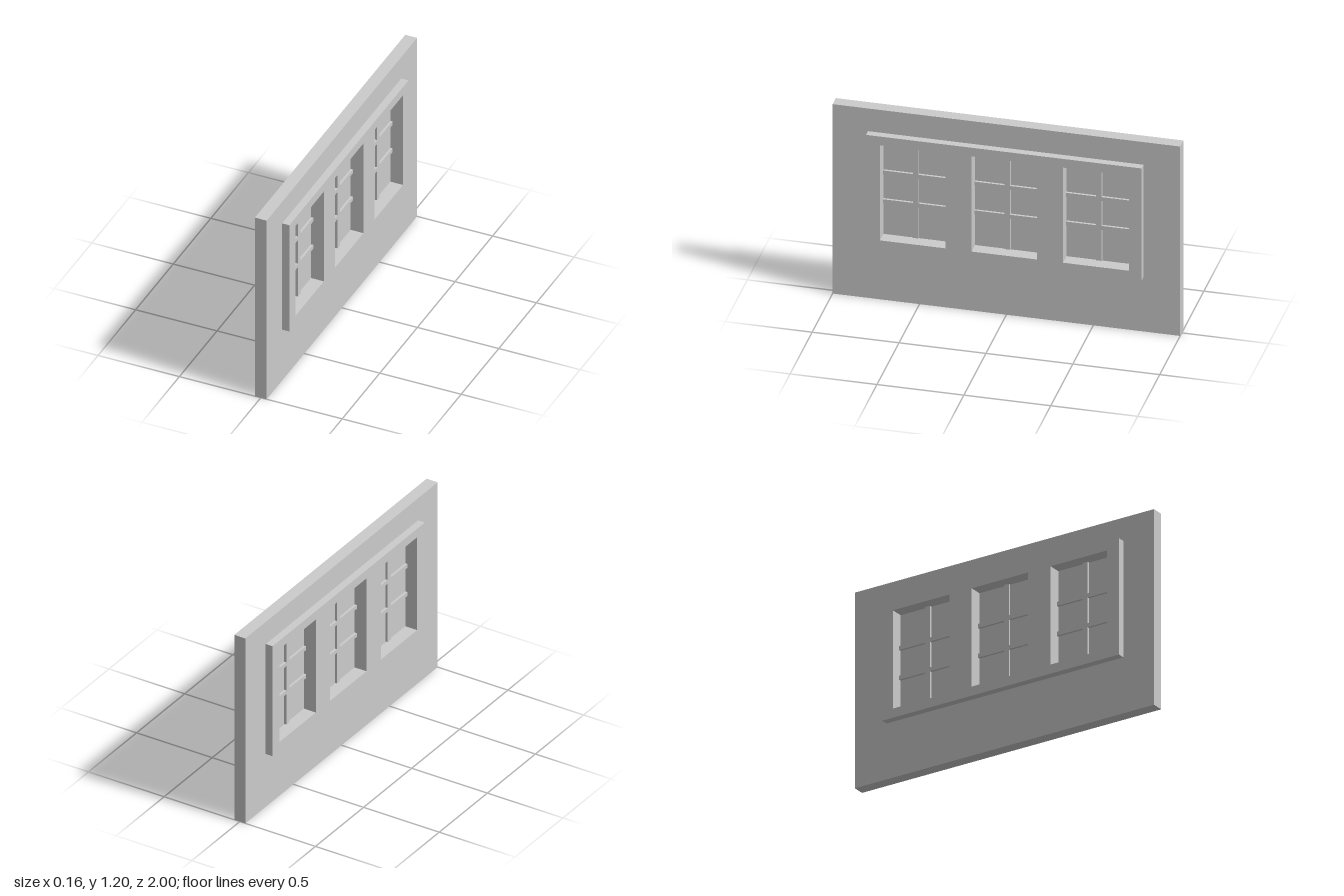
import * as THREE from 'three';

const WALL = { z0: -1, z1: 1, y0: 0, y1: 1.204 };
const FRAME = { z0: -0.788, z1: 0.796, y0: 0.344, y1: 1.06 };
const WINDOWS = [-0.527, 0, 0.527].map((z) => ({ z, z0: z - 0.189, z1: z + 0.189, y0: 0.4, y1: 1.005 }));

// Rectangle in the wall plane; the drawing x axis is -z
function rect(PathType, r) {
  return new PathType([[-r.z1, r.y0], [-r.z0, r.y0], [-r.z0, r.y1], [-r.z1, r.y1]]
    .map(([x, y]) => new THREE.Vector2(x, y)));
}

// Upright slab with rectangular openings, centred on x = 0
function slab(outline, openings, thickness) {
  const shape = rect(THREE.Shape, outline);
  shape.holes = openings.map((o) => rect(THREE.Path, o));
  const geometry = new THREE.ExtrudeGeometry(shape, { depth: thickness, bevelEnabled: false });
  return geometry.translate(0, 0, -thickness / 2).rotateY(Math.PI / 2);
}

export function createModel() {
  const group = new THREE.Group();
  const material = new THREE.MeshStandardMaterial({ color: 0xcccccc });

  function add(parent, name, geometry, x = 0, y = 0, z = 0) {
    const mesh = new THREE.Mesh(geometry, material);
    mesh.name = name;
    mesh.position.set(x, y, z);
    parent.add(mesh);
  }

  // Wall, and the thicker frame set through it
  add(group, 'wall', slab(WALL, [FRAME], 0.073));
  add(group, 'windowFrame', slab(FRAME, WINDOWS, 0.163));

  // Each window: thin pane in the middle of the depth, one upright and two cross bars
  for (const w of WINDOWS) {
    const win = new THREE.Group();
    win.name = 'window';
    const width = w.z1 - w.z0;
    const height = w.y1 - w.y0;
    const midY = (w.y0 + w.y1) / 2;
    add(win, 'pane', new THREE.BoxGeometry(0.005, height, width), 0, midY, w.z);
    add(win, 'uprightBar', new THREE.BoxGeometry(0.034, height - 0.005, 0.033), 0, midY + 0.0025, w.z);
    for (const y of [0.615, 0.798]) {
      add(win, 'crossBar', new THREE.BoxGeometry(0.034, 0.025, width), 0, y, w.z);
    }
    group.add(win);
  }
  return group;
}
